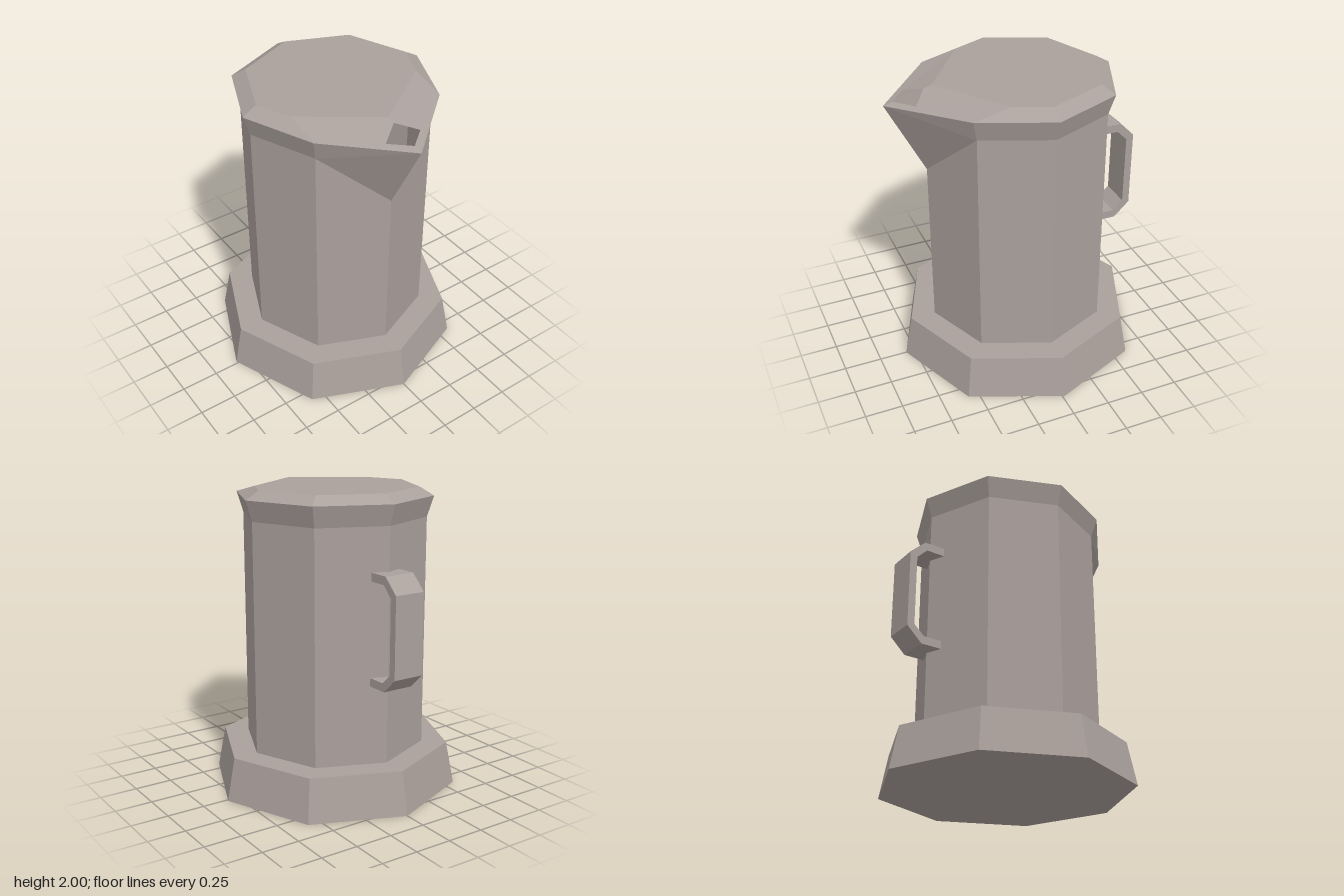
import * as THREE from 'three';

const SIDES = 8;
const CZ = -0.015; // octagon axis
const mat = new THREE.MeshStandardMaterial({ color: 0xaaa09c, flatShading: true, side: THREE.DoubleSide });

// Octagon ring, index 0 at the front corner, index 2 at +x
function ring(r, y) {
  return Array.from({ length: SIDES }, (_, i) => {
    const a = (i / SIDES) * Math.PI * 2;
    return [r * Math.sin(a), y, CZ + r * Math.cos(a)];
  });
}

// Mesh from a list of triangles, each three [x, y, z] corners
function triMesh(name, tris) {
  const g = new THREE.BufferGeometry();
  g.setAttribute('position', new THREE.Float32BufferAttribute(tris.flat(2), 3));
  g.computeVertexNormals();
  return named(name, g);
}

function named(name, geometry) {
  const m = new THREE.Mesh(geometry, mat);
  m.name = name;
  return m;
}

// Wall panels between two rings
function strip(a, b, skip = []) {
  const tris = [];
  for (let i = 0; i < SIDES; i++) {
    if (skip.includes(i)) continue;
    const j = (i + 1) % SIDES;
    // mirror the diagonal so left and right halves match
    if (i < SIDES / 2) tris.push([a[i], a[j], b[i]], [a[j], b[j], b[i]]);
    else tris.push([a[i], a[j], b[j]], [a[i], b[j], b[i]]);
  }
  return tris;
}

const mirrorX = (tris) => tris.map(([a, b, c]) => [a, c, b].map(([x, y, z]) => [-x, y, z]));

export function createModel() {
  const model = new THREE.Group();
  model.name = 'jug';

  // Flared foot
  const foot = named('foot', new THREE.CylinderGeometry(0.775, 0.83, 0.285, SIDES));
  foot.position.set(0, 0.1425, CZ);
  model.add(foot);

  // Straight body, with the front corner cut low under the spout
  const lower = ring(0.607, 0.285);
  const neck = ring(0.607, 1.81);
  neck[0][1] = 1.43;
  model.add(triMesh('body', strip(lower, neck)));

  // Flared rim, its front corner drawn out into the spout tip
  const rim = ring(0.65, 1.945);
  rim[0] = [0, 1.92, 0.843];
  model.add(triMesh('rimAndSpout', strip(neck, rim)));

  // Lid: bevelled edge, flat top, and a sloped front pierced by the pouring hole
  const top = ring(0.557, 2);
  top[0] = [0, 2, 0.535];
  top[1] = [0.46, 2, 0.21];
  top[7] = [-0.46, 2, 0.21];
  const holeBack = [0, 1.987, 0.585];
  const holeSide = [0.125, 1.94, 0.675];
  const holeFront = [0, 1.936, 0.78];
  const slope = [
    [holeBack, holeSide, top[0]],
    [holeSide, top[1], top[0]],
    [holeSide, rim[1], top[1]],
    [holeSide, rim[0], rim[1]],
    [holeSide, holeFront, rim[0]],
  ];
  const cap = top.map((p, i) => [[0, 2, CZ], p, top[(i + 1) % SIDES]]);
  model.add(triMesh('lid', [...strip(rim, top, [0, 7]), ...cap]));
  model.add(triMesh('spoutTop', [...slope, ...mirrorX(slope)]));

  // Angular handle at the back, profile drawn as (-z, y)
  const profile = [
    [0.57, 1.53], [0.72, 1.53], [0.825, 1.43], [0.825, 0.905], [0.72, 0.805], [0.57, 0.805],
    [0.57, 0.86], [0.705, 0.86], [0.775, 0.925], [0.775, 1.405], [0.705, 1.475], [0.57, 1.475],
  ].map(([x, y]) => new THREE.Vector2(x, y));
  const handle = named('handle', new THREE.ExtrudeGeometry(new THREE.Shape(profile), {
    depth: 0.21, bevelEnabled: false,
  }).translate(0, 0, -0.105).rotateY(Math.PI / 2));
  model.add(handle);

  return model;
}
